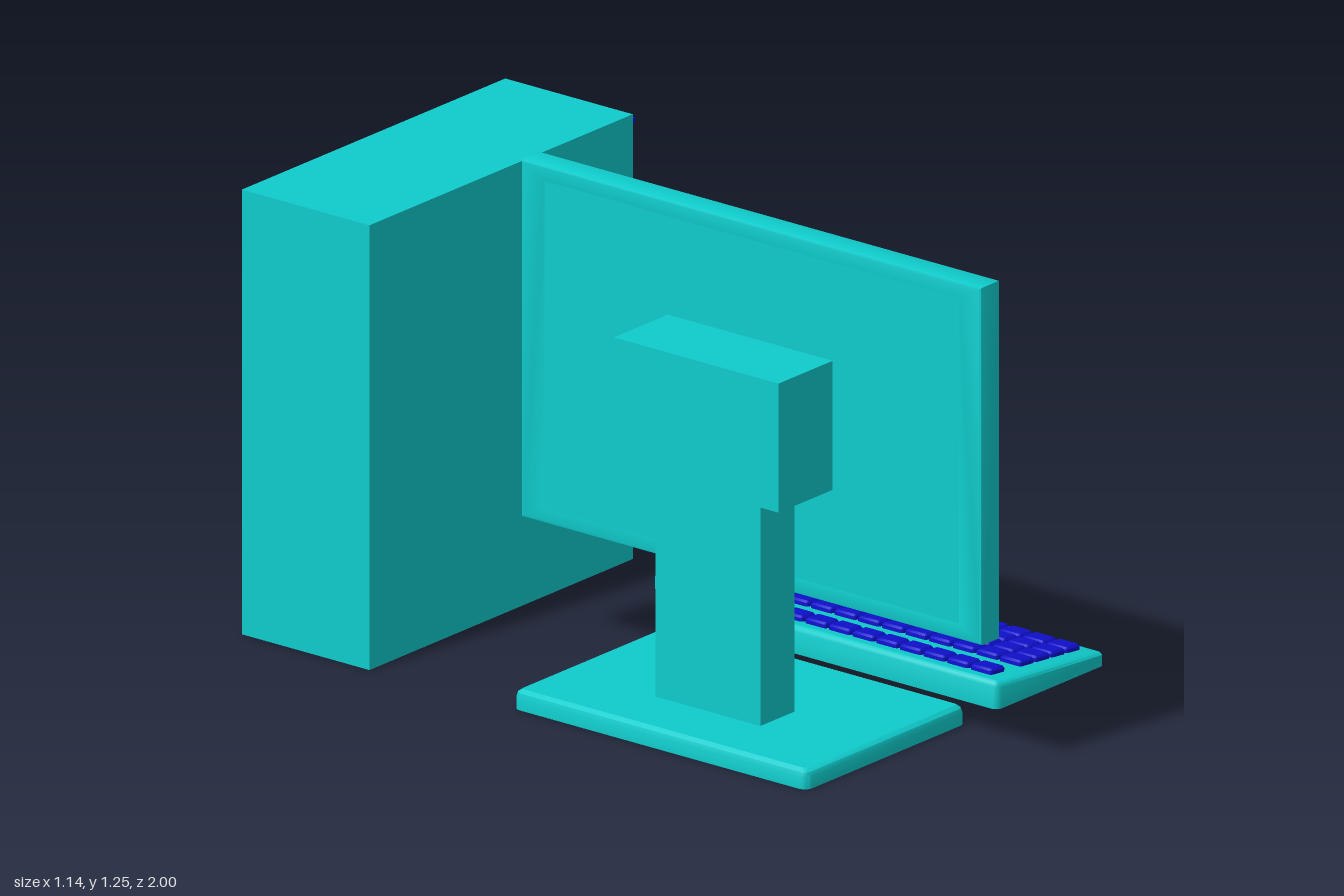
import * as THREE from 'three';
import { toCreasedNormals } from 'three/addons/utils/BufferGeometryUtils.js';

const teal = new THREE.MeshStandardMaterial({ color: 0x0fcccc });
const shellTeal = new THREE.MeshStandardMaterial({ color: 0x0fcccc, side: THREE.DoubleSide });
const green = new THREE.MeshStandardMaterial({ color: 0x0fcc0f });
const blue = new THREE.MeshStandardMaterial({ color: 0x0f0fcc });

function add(parent, name, geometry, material) {
  const mesh = new THREE.Mesh(geometry, material);
  mesh.name = name;
  parent.add(mesh);
  return mesh;
}

function group(parent, name) {
  const g = new THREE.Group();
  g.name = name;
  parent.add(g);
  return g;
}

// Box given by its lower and upper limits on each axis
function box(parent, name, [x0, x1], [y0, y1], [z0, z1], material = teal) {
  const mesh = add(parent, name, new THREE.BoxGeometry(x1 - x0, y1 - y0, z1 - z0), material);
  mesh.position.set((x0 + x1) / 2, (y0 + y1) / 2, (z0 + z1) / 2);
  return mesh;
}

// Moulded cover, open below: rounded-rectangle rings [inset, y] joined upward and capped.
// lift(x, y) may reshape the height across the width.
function shell([x0, x1], [z0, z1], radius, rings, lift = (x, y) => y) {
  const steps = 4, n = 4 * (steps + 1);
  const pos = [], idx = [];
  const cx = (x0 + x1) / 2, cz = (z0 + z1) / 2;
  for (const [inset, y] of rings) {
    const r = Math.max(radius - inset, 0.003);
    const hx = (x1 - x0) / 2 - inset - r, hz = (z1 - z0) / 2 - inset - r;
    for (let c = 0; c < 4; c++) {
      const sx = c === 0 || c === 3 ? 1 : -1, sz = c < 2 ? 1 : -1;
      for (let s = 0; s <= steps; s++) {
        const a = (c + s / steps) * Math.PI / 2;
        const x = cx + sx * hx + r * Math.cos(a);
        pos.push(x, lift(x, y), cz + sz * hz + r * Math.sin(a));
      }
    }
  }
  const top = rings.length - 1;
  pos.push(cx, lift(cx, rings[top][1]), cz);
  for (let i = 0; i < n; i++) {
    const j = (i + 1) % n;
    for (let k = 0; k < top; k++) {
      const a = k * n + i, b = k * n + j;
      idx.push(a, a + n, b, b, a + n, b + n);
    }
    idx.push(top * n + i, rings.length * n, top * n + j);
  }
  const g = new THREE.BufferGeometry();
  g.setAttribute('position', new THREE.Float32BufferAttribute(pos, 3));
  g.setIndex(idx);
  return toCreasedNormals(g, 0.6);
}

function rect(path, x0, x1, y0, y1) {
  path.moveTo(x0, y0);
  path.lineTo(x1, y0);
  path.lineTo(x1, y1);
  path.lineTo(x0, y1);
  path.closePath();
  return path;
}

function buildTower(parent) {
  const tower = group(parent, 'tower');
  box(tower, 'towerCase', [-0.575, 0.425], [0, 1.137], [-1, -0.605]);
  const width = [-0.905, -0.677];
  box(tower, 'frontPanel', [0.42, 0.44], [0.11, 0.842], width);
  for (const [y0, y1, buttonY] of [[0.98, 1.053, 1.004], [0.873, 0.938, 0.89]]) {
    box(tower, 'driveBay', [0.42, 0.44], [y0, y1], width);
    box(tower, 'driveButton', [0.439, 0.454], [buttonY - 0.006, buttonY + 0.006], [-0.885, -0.83], blue);
  }
  for (const z of [[-0.674, -0.62], [-0.711, -0.685]]) {
    box(tower, 'powerButton', [0.439, 0.454], [1.105, 1.117], z, blue);
  }
}

function buildMonitor(parent) {
  const monitor = group(parent, 'monitor');
  // Bezel drawn in the (-z, y) plane, then turned to face +x
  const b = 0.006;
  const outline = rect(new THREE.Shape(), -1 + b, 0.425 - b, 0.333 + b, 1.247 - b);
  outline.holes.push(rect(new THREE.Path(), -0.925 - b, 0.345 + b, 0.38 - b, 1.2 + b));
  const bezel = new THREE.ExtrudeGeometry(outline, {
    depth: 0.073 - 2 * b, bevelThickness: b, bevelSize: b, bevelSegments: 2
  });
  bezel.rotateY(Math.PI / 2).translate(-0.22 + b, 0, 0);
  add(monitor, 'bezel', toCreasedNormals(bezel, 0.5), teal);
  box(monitor, 'backCover', [-0.22, -0.175], [0.372, 1.208], [-0.353, 0.933]);
  box(monitor, 'screen', [-0.176, -0.165], [0.376, 1.204], [-0.349, 0.929], green);

  // Stand
  box(monitor, 'rearHousing', [-0.425, -0.218], [0.625, 0.955], [0.03, 0.54]);
  box(monitor, 'standNeck', [-0.39, -0.26], [0.048, 0.627], [0.13, 0.455]);
  add(monitor, 'standBase', shell([-0.565, 0.042], [-0.17, 0.74], 0.022,
    [[0, 0], [0, 0.03], [0.004, 0.042], [0.015, 0.05]]), shellTeal);
}

function buildKeyboard(parent) {
  const keyboard = group(parent, 'keyboard');
  const slope = -0.09;
  const surface = x => 0.07 + slope * (x - 0.17);
  // Heights are fractions of the sloping top surface
  add(keyboard, 'keyboardCase', shell([0.16, 0.57], [-0.17, 0.74], 0.018,
    [[0, 0], [0, 0.8], [0.004, 0.92], [0.012, 1]], (x, f) => f * surface(x)), shellTeal);

  const pitch = 0.0733, tilt = Math.atan(slope);
  const columns = [0.225, 0.336, 0.395, 0.453, 0.511];
  const addKey = (name, x, z, length) => {
    const geometry = shell([-0.0275, 0.0275], [-length / 2, length / 2], 0.008,
      [[0, -0.004], [0, 0.009], [0.005, 0.014]]);
    const key = add(keyboard, name, geometry, blue);
    key.position.set(x, surface(x), z);
    key.rotation.z = tilt;
  };
  columns.forEach((x, c) => {
    for (let r = 0; r < 11; r++) {
      const z = -0.076 + r * pitch;
      const inBar = c === 4 && r >= 4 && r <= 6;
      if (!inBar) addKey('key', x, z, 0.067);
      else if (r === 5) addKey('spaceBar', x, z, 0.067 + 2 * pitch);
    }
  });
}

function buildMouse(parent) {
  const mouse = group(parent, 'mouse');
  add(mouse, 'mouseBody', shell([0.265, 0.45], [-0.417, -0.29], 0.02,
    [[0.01, 0.004], [0, 0.014], [0, 0.042], [0.005, 0.053], [0.015, 0.06]]), shellTeal);
  for (const z of [[-0.4, -0.357], [-0.353, -0.307]]) {
    box(mouse, 'mouseButton', [0.28, 0.325], [0.055, 0.064], z);
  }
}

export function createModel() {
  const model = new THREE.Group();
  model.name = 'desktopComputer';
  buildTower(model);
  buildMonitor(model);
  buildKeyboard(model);
  buildMouse(model);
  return model;
}
